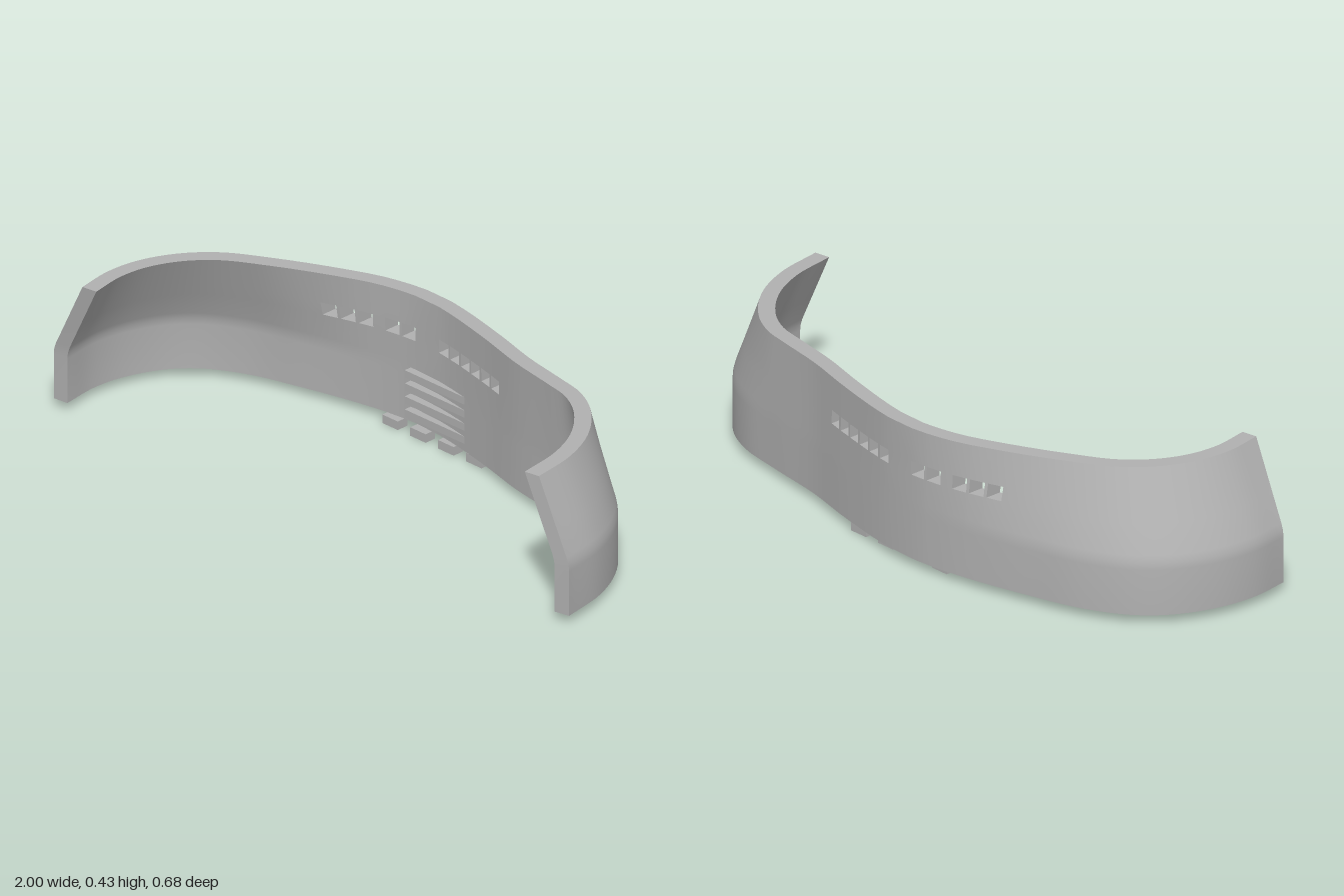
import * as THREE from 'three';
import { toCreasedNormals } from 'three/addons/utils/BufferGeometryUtils.js';

const THICKNESS = 0.049;
const X_LEFT = -0.5, X_RIGHT = 0.3;        // the vented middle of the wall

// Outer outlines (x, z) of the wall at its foot and at its rim
const FOOT = [[-0.985, 0.325], [-1, 0.2], [-0.985, 0.08], [-0.93, -0.05], [-0.85, -0.14], [-0.717, -0.215],
  [-0.556, -0.265], [-0.4, -0.305], [-0.26, -0.331], [-0.125, -0.34], [0, -0.328], [0.19, -0.29], [0.35, -0.25],
  [0.55, -0.219], [0.7, -0.19], [0.81, -0.135], [0.905, -0.035], [0.968, 0.09], [1, 0.245]];
const RIM = [[-0.855, 0.34], [-0.873, 0.22], [-0.86, 0.11], [-0.81, 0], [-0.73, -0.09], [-0.6, -0.17],
  [-0.42, -0.26], [-0.28, -0.315], [-0.12, -0.34], [0, -0.328], [0.19, -0.287], [0.35, -0.245],
  [0.5, -0.218], [0.6, -0.197], [0.7, -0.14], [0.8, -0.03], [0.86, 0.1], [0.887, 0.253]];

// Vent groups: start, end, number of openings
const VENTS = [[-0.455, -0.3, 3], [-0.26, -0.152, 2], [-0.055, 0.25, 6]];
const BAR = 0.009;

// Heights of the wall rows; the vents sit between rows VENT_ROW and VENT_ROW + 1
const ROWS = [0.027, 0.168, 0.188, 0.208, 0.288, 0.33, 0.433];
const VENT_ROW = 4;
const lean = (y) => (y < 0.17 ? 0 : y < 0.2 ? 0.02 : (y - 0.188) / (0.433 - 0.188));

// Dense outline, moved inward by the given distance
function outline(points, inset) {
  const curve = new THREE.CatmullRomCurve3(points.map(([x, z]) => new THREE.Vector3(x, 0, z)));
  return Array.from({ length: 401 }, (_, i) => {
    const p = curve.getPointAt(i / 400), t = curve.getTangentAt(i / 400);
    return [p.x - t.z * inset, p.z + t.x * inset];
  });
}

// Point on the outline at a given x within the middle
function atX(line, x) {
  for (let i = 1; i < line.length; i++) {
    const [x0, z0] = line[i - 1], [x1, z1] = line[i];
    if (z1 < 0 && x0 <= x && x1 >= x) return [x, z0 + (z1 - z0) * (x - x0) / (x1 - x0)];
  }
  return line[line.length - 1];
}

// Evenly spaced points of one arm, from the front tip to the middle
function arm(line, keep, joint, count) {
  const pts = line.filter(keep);
  pts.push(joint);
  const path = new THREE.CurvePath();
  for (let i = 1; i < pts.length; i++) {
    path.add(new THREE.LineCurve(new THREE.Vector2(...pts[i - 1]), new THREE.Vector2(...pts[i])));
  }
  return Array.from({ length: count }, (_, i) => path.getPointAt(i / count).toArray());
}

// Columns of one outline: left arm, middle at the given x values, right arm
function columns(line, xs) {
  const left = arm(line, (p) => p[0] < X_LEFT - 0.001, atX(line, X_LEFT), 36);
  const right = arm([...line].reverse(), (p) => p[0] > X_RIGHT + 0.001, atX(line, X_RIGHT), 36);
  return [...left, ...xs.map((x) => atX(line, x)), ...right.reverse()];
}

function wallGeometry() {
  // Middle columns, noting which of them start an opening
  const xs = [X_LEFT], openings = new Set();
  for (const [a, b, n] of VENTS) {
    const pitch = (b - a + BAR) / n;
    for (let k = 0; k < n; k++) {
      openings.add(36 + xs.length);
      xs.push(a + k * pitch, a + (k + 1) * pitch - BAR);
    }
  }
  xs.push(X_RIGHT);

  const outer = [FOOT, RIM].map((p) => columns(outline(p, 0), xs));
  const inner = [FOOT, RIM].map((p) => columns(outline(p, THICKNESS), xs));
  const at = ([foot, rim], i, j) => {
    const k = lean(ROWS[j]);
    return [foot[i][0] + (rim[i][0] - foot[i][0]) * k, ROWS[j], foot[i][1] + (rim[i][1] - foot[i][1]) * k];
  };
  const O = (i, j) => at(outer, i, j), I = (i, j) => at(inner, i, j);

  const pos = [];
  const quad = (a, b, c, d) => pos.push(...a, ...b, ...c, ...a, ...c, ...d);
  const down = (i, j) => quad(O(i, j), O(i + 1, j), I(i + 1, j), I(i, j));
  const up = (i, j) => quad(I(i, j), I(i + 1, j), O(i + 1, j), O(i, j));
  const faceRight = (i, j) => quad(O(i, j), O(i, j + 1), I(i, j + 1), I(i, j));
  const faceLeft = (i, j) => quad(I(i, j), I(i, j + 1), O(i, j + 1), O(i, j));

  const last = outer[0].length - 1, top = ROWS.length - 1;
  for (let i = 0; i < last; i++) {
    for (let j = 0; j < top; j++) {
      if (j === VENT_ROW && openings.has(i)) {
        // Sides of an opening
        up(i, j);
        down(i, j + 1);
        faceRight(i, j);
        faceLeft(i + 1, j);
      } else {
        quad(O(i, j), O(i, j + 1), O(i + 1, j + 1), O(i + 1, j));
        quad(I(i, j), I(i + 1, j), I(i + 1, j + 1), I(i, j + 1));
      }
    }
    down(i, 0);
    up(i, top);
  }
  // Flat tips of both arms
  for (let j = 0; j < top; j++) {
    quad(O(0, j), I(0, j), I(0, j + 1), O(0, j + 1));
    quad(I(last, j), O(last, j), O(last, j + 1), I(last, j + 1));
  }
  const geometry = new THREE.BufferGeometry();
  geometry.setAttribute('position', new THREE.Float32BufferAttribute(pos, 3));
  return toCreasedNormals(geometry, 0.6);
}

export function createModel() {
  const group = new THREE.Group();
  group.name = 'curvedShell';
  const grey = new THREE.MeshStandardMaterial({ color: 0xb0b0b0 });
  grey.name = 'grey';

  const add = (name, geometry) => {
    const mesh = new THREE.Mesh(geometry, grey);
    mesh.name = name;
    group.add(mesh);
  };
  const box = (name, x0, x1, y0, y1, z0, z1) => add(name,
    new THREE.BoxGeometry(x1 - x0, y1 - y0, z1 - z0).translate((x0 + x1) / 2, (y0 + y1) / 2, (z0 + z1) / 2));

  add('ventedWall', wallGeometry());

  // Ribs on the inner face
  for (let k = 0; k < 4; k++) box('rib', -0.172, 0.07, 0.05 + k * 0.0415, 0.073 + k * 0.0415, -0.3, -0.266);

  // Mounting tabs under the wall
  for (let k = 0; k < 4; k++) box('tab', -0.258 + k * 0.112, -0.196 + k * 0.112, 0, 0.027, -0.3, -0.262);

  return group;
}
